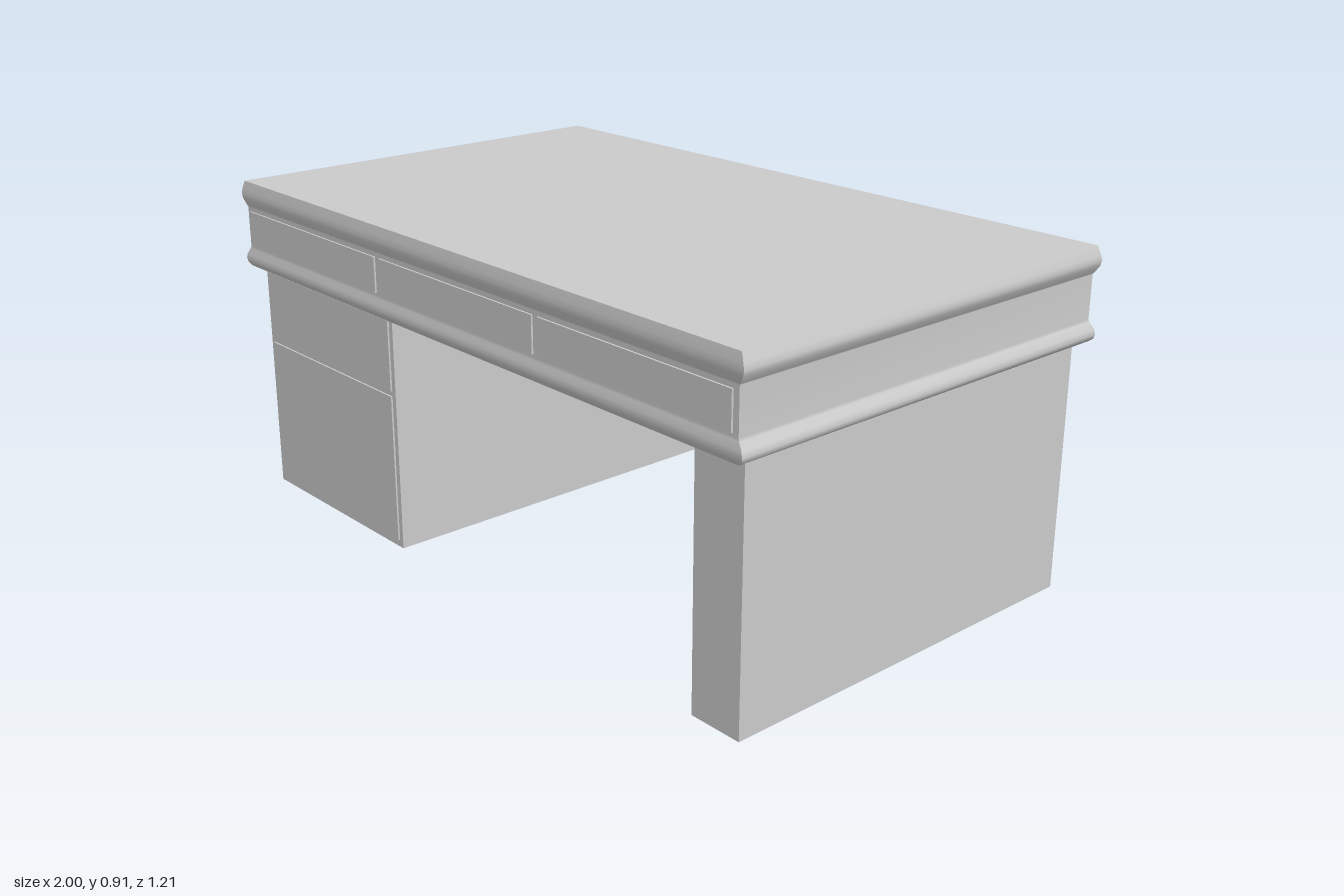
import * as THREE from 'three';

const material = new THREE.MeshStandardMaterial({ color: 0xcccccc });

// Box given by its lower and upper limits on each axis
function block(name, [x0, x1], [y0, y1], [z0, z1]) {
  const mesh = new THREE.Mesh(new THREE.BoxGeometry(x1 - x0, y1 - y0, z1 - z0), material);
  mesh.position.set((x0 + x1) / 2, (y0 + y1) / 2, (z0 + z1) / 2);
  mesh.name = name;
  return mesh;
}

// Moulding profile swept round a rectangle: rows are [half width, y, half depth]
function mouldedCase(rows) {
  const corners = [[-1, 1], [1, 1], [1, -1], [-1, -1]];
  const pos = [], idx = [];
  // Each side has its own vertices, so the mitred corners stay sharp
  for (let s = 0; s < 4; s++) {
    const a = corners[s], b = corners[(s + 1) % 4];
    rows.forEach(([w, y, d], i) => {
      const n = pos.length / 3;
      pos.push(a[0] * w, y, a[1] * d, b[0] * w, y, b[1] * d);
      if (i < rows.length - 1) idx.push(n, n + 1, n + 3, n, n + 3, n + 2);
    });
  }
  // Flat underside and desktop
  [rows[0], rows[rows.length - 1]].forEach(([w, y, d], top) => {
    const n = pos.length / 3;
    corners.forEach(([x, z]) => pos.push(x * w, y, z * d));
    idx.push(...(top ? [n, n + 1, n + 2, n, n + 2, n + 3] : [n, n + 2, n + 1, n, n + 3, n + 2]));
  });
  const g = new THREE.BufferGeometry();
  g.setAttribute('position', new THREE.Float32BufferAttribute(pos, 3));
  g.setIndex(idx);
  g.computeVertexNormals();
  return g;
}

export function createModel() {
  const desk = new THREE.Group();
  desk.name = 'desk';

  // Desktop, apron and the two rounded mouldings in one profile
  const top = new THREE.Mesh(mouldedCase([
    [0.985, 0.665, 0.6], [0.997, 0.674, 0.604], [1, 0.685, 0.606], [0.997, 0.698, 0.605],
    [0.985, 0.715, 0.6], [0.982, 0.722, 0.599], [0.982, 0.836, 0.599], [0.985, 0.84, 0.6],
    [0.997, 0.859, 0.605], [1, 0.872, 0.606], [0.997, 0.886, 0.605], [0.988, 0.909, 0.601],
  ]), material);
  top.name = 'desktopAndApron';
  desk.add(top);

  // Three shallow drawers along the apron
  for (let i = -1; i <= 1; i++) {
    desk.add(block('apronDrawer', [i * 0.65 - 0.315, i * 0.65 + 0.315], [0.73, 0.825], [0.58, 0.604]));
  }

  // Drawer pedestal on one side, thick panel leg on the other
  desk.add(block('pedestal', [-0.97, -0.33], [0, 0.665], [-0.565, 0.562]));
  desk.add(block('panelLeg', [0.815, 0.965], [0, 0.665], [-0.565, 0.562]));

  // Two drawer fronts standing slightly proud of the pedestal
  for (const [y0, y1] of [[0.02, 0.435], [0.45, 0.645]]) {
    desk.add(block('pedestalDrawer', [-0.955, -0.345], [y0, y1], [0.54, 0.567]));
  }
  return desk;
}
